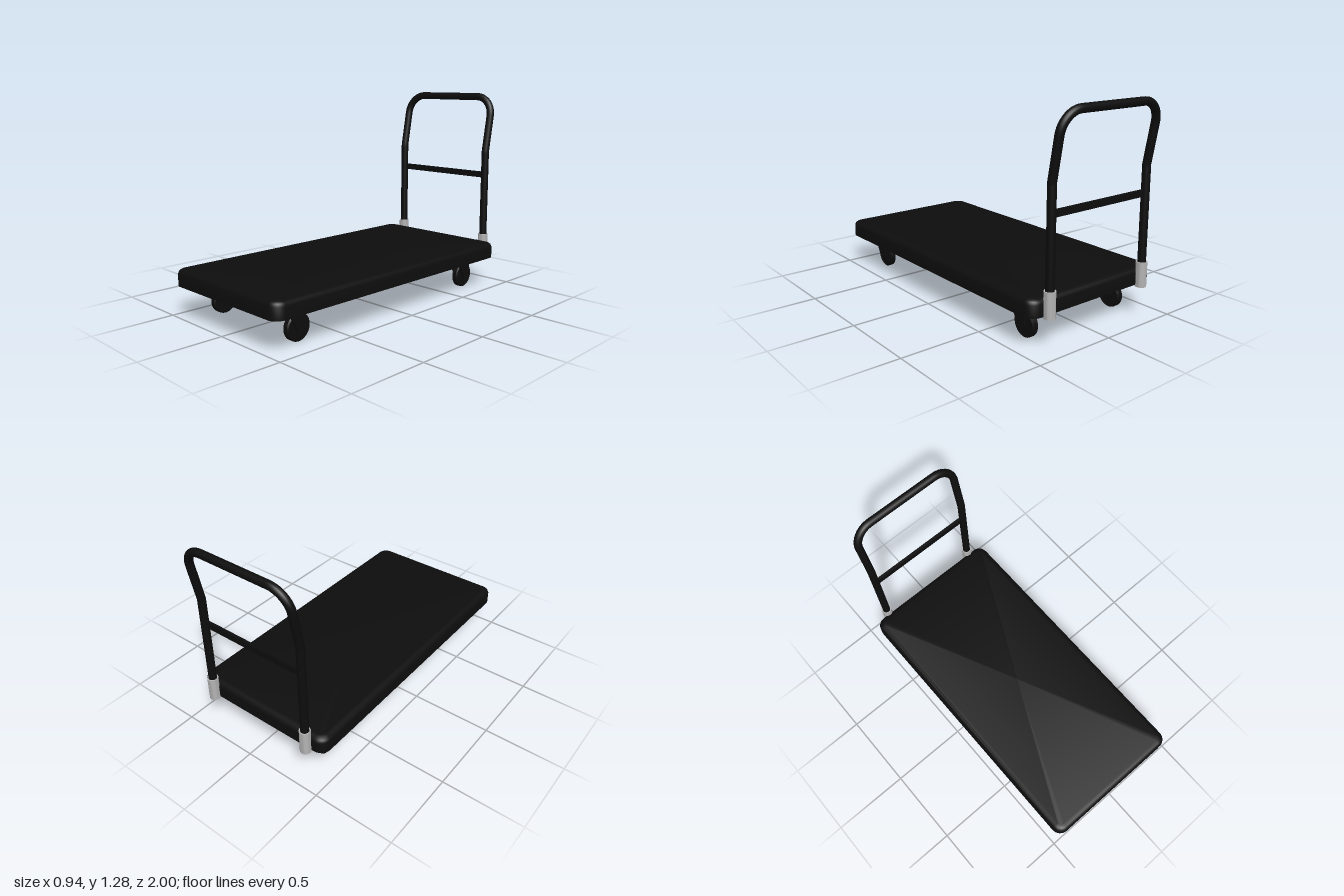
import * as THREE from 'three';
import { toCreasedNormals } from 'three/addons/utils/BufferGeometryUtils.js';

const black = new THREE.MeshStandardMaterial({ color: 0x0d0d0d, side: THREE.DoubleSide });
black.name = 'black';
const steel = new THREE.MeshStandardMaterial({ color: 0xb4b4b4, side: THREE.DoubleSide });
steel.name = 'steel';

function part(parent, name, geometry, material, x = 0, y = 0, z = 0) {
  const mesh = new THREE.Mesh(geometry, material);
  mesh.name = name;
  mesh.position.set(x, y, z);
  parent.add(mesh);
  return mesh;
}

// Rounded rectangle outline, shrunk by an inset
function ring(inset, y) {
  const hx = 0.47 - inset, hz = 0.948 - inset;
  const r = Math.max(0.065 - inset, 0.02);
  const points = [];
  for (let corner = 0; corner < 4; corner++) {
    const sx = corner === 0 || corner === 3 ? 1 : -1;
    const sz = corner < 2 ? 1 : -1;
    for (let i = 0; i <= 8; i++) {
      const a = (corner + i / 8) * Math.PI / 2;
      points.push([sx * (hx - r) + r * Math.cos(a), y, sz * (hz - r) + r * Math.sin(a)]);
    }
  }
  return points;
}

// Shell from the top centre, over the edge and into the hollow underside
function deckGeometry() {
  const profile = [[0.04, 0.295], [0.02, 0.291], [0.007, 0.282], [0, 0.266],
    [0, 0.195], [0.016, 0.195], [0.016, 0.268]];
  const rings = profile.map(([inset, y]) => ring(inset, y));
  const n = rings[0].length;
  rings.unshift(Array.from({ length: n }, () => [0, 0.295, 0]));
  rings.push(Array.from({ length: n }, () => [0, 0.268, 0]));
  const index = [];
  for (let i = 0; i < rings.length - 1; i++) {
    for (let j = 0; j < n; j++) {
      const a = i * n + j, b = i * n + (j + 1) % n;
      if (i > 0) index.push(a, b, a + n);
      if (i < rings.length - 2) index.push(b, b + n, a + n);
      if (i === 0) index.push(a, b + n, a + n);
    }
  }
  // The first strip is a fan, so drop its duplicate triangles
  index.splice(0, n * 6, ...index.slice(0, n * 6).filter((_, k) => k % 6 < 3));
  const geometry = new THREE.BufferGeometry();
  geometry.setAttribute('position', new THREE.Float32BufferAttribute(rings.flat(2), 3));
  geometry.setIndex(index);
  return toCreasedNormals(geometry, 0.6);
}

// Push handle path: upright, leaning back, with rounded top corners
function handlePath() {
  const x = 0.357, r = 0.125, top = 1.261;
  const at = (px, y) => new THREE.Vector3(px, y, -0.909 - Math.max(0, y - 0.9) * 0.183);
  const k = r * 0.448;
  const path = new THREE.CurvePath();
  path.add(new THREE.LineCurve3(at(-x, 0.2), at(-x, 0.9)));
  path.add(new THREE.LineCurve3(at(-x, 0.9), at(-x, top - r)));
  path.add(new THREE.CubicBezierCurve3(at(-x, top - r), at(-x, top - k), at(-x + k, top), at(-x + r, top)));
  path.add(new THREE.LineCurve3(at(-x + r, top), at(x - r, top)));
  path.add(new THREE.CubicBezierCurve3(at(x - r, top), at(x - k, top), at(x, top - k), at(x, top - r)));
  path.add(new THREE.LineCurve3(at(x, top - r), at(x, 0.9)));
  path.add(new THREE.LineCurve3(at(x, 0.9), at(x, 0.2)));
  return path;
}

// Caster with its origin on the ground below the axle
function createCaster() {
  const caster = new THREE.Group();

  // Wheel with softened tread edges
  const tread = [[0, -0.02], [0.072, -0.02], [0.08, -0.014], [0.08, 0.014], [0.072, 0.02], [0, 0.02]];
  const wheel = new THREE.LatheGeometry(tread.map(([r, y]) => new THREE.Vector2(r, y)), 32);
  part(caster, 'wheel', toCreasedNormals(wheel, 0.6), black, 0, 0.08, 0).rotation.z = Math.PI / 2;
  part(caster, 'axle', new THREE.CylinderGeometry(0.019, 0.019, 0.082, 16), black, 0, 0.08, 0)
    .rotation.z = Math.PI / 2;

  // Fork plates, drawn in side profile (z, y)
  const side = new THREE.Shape();
  side.moveTo(0.088, 0.205);
  side.lineTo(-0.03, 0.205);
  side.lineTo(-0.03, 0.08);
  side.absarc(0, 0.08, 0.03, Math.PI, Math.PI * 2, false);
  side.lineTo(0.088, 0.19);
  const plate = new THREE.ExtrudeGeometry(side, { depth: 0.013, bevelEnabled: false, curveSegments: 10 });
  plate.translate(0, 0, -0.0065);
  plate.rotateY(-Math.PI / 2);
  for (const s of [-1, 1]) part(caster, 'forkPlate', plate, black, s * 0.035);

  part(caster, 'forkBridge', new THREE.BoxGeometry(0.083, 0.012, 0.118), black, 0, 0.204, 0.029);
  part(caster, 'swivelStem', new THREE.CylinderGeometry(0.027, 0.027, 0.064, 20), black, 0, 0.238, 0.029);
  return caster;
}

export function createModel() {
  const model = new THREE.Group();
  model.name = 'platformTrolley';

  part(model, 'deck', deckGeometry(), black, 0, 0, 0.052);

  // Handle and cross bar
  part(model, 'handle', new THREE.TubeGeometry(handlePath(), 180, 0.0245, 16, false), black);
  part(model, 'crossBar', new THREE.BoxGeometry(0.69, 0.038, 0.02), black, 0, 0.74, -0.912);

  // Open sockets holding the handle ends
  const socketProfile = [[0.026, -0.075], [0.033, -0.075], [0.033, 0.075], [0.026, 0.075], [0.026, -0.075]];
  const socket = toCreasedNormals(
    new THREE.LatheGeometry(socketProfile.map(([r, y]) => new THREE.Vector2(r, y)), 24), 0.6);
  const cap = new THREE.CircleGeometry(0.0245, 16).rotateX(Math.PI / 2);
  for (const s of [-1, 1]) {
    part(model, 'handleSocket', socket, steel, s * 0.357, 0.26, -0.909);
    part(model, 'handleEnd', cap, black, s * 0.357, 0.2, -0.909);
  }

  // Four casters
  for (const z of [0.75, -0.705]) {
    for (const x of [-0.334, 0.334]) {
      const caster = createCaster();
      caster.name = (z > 0 ? 'front' : 'back') + (x > 0 ? 'Left' : 'Right') + 'Caster';
      caster.position.set(x, 0.002, z);
      model.add(caster);
    }
  }
  return model;
}
